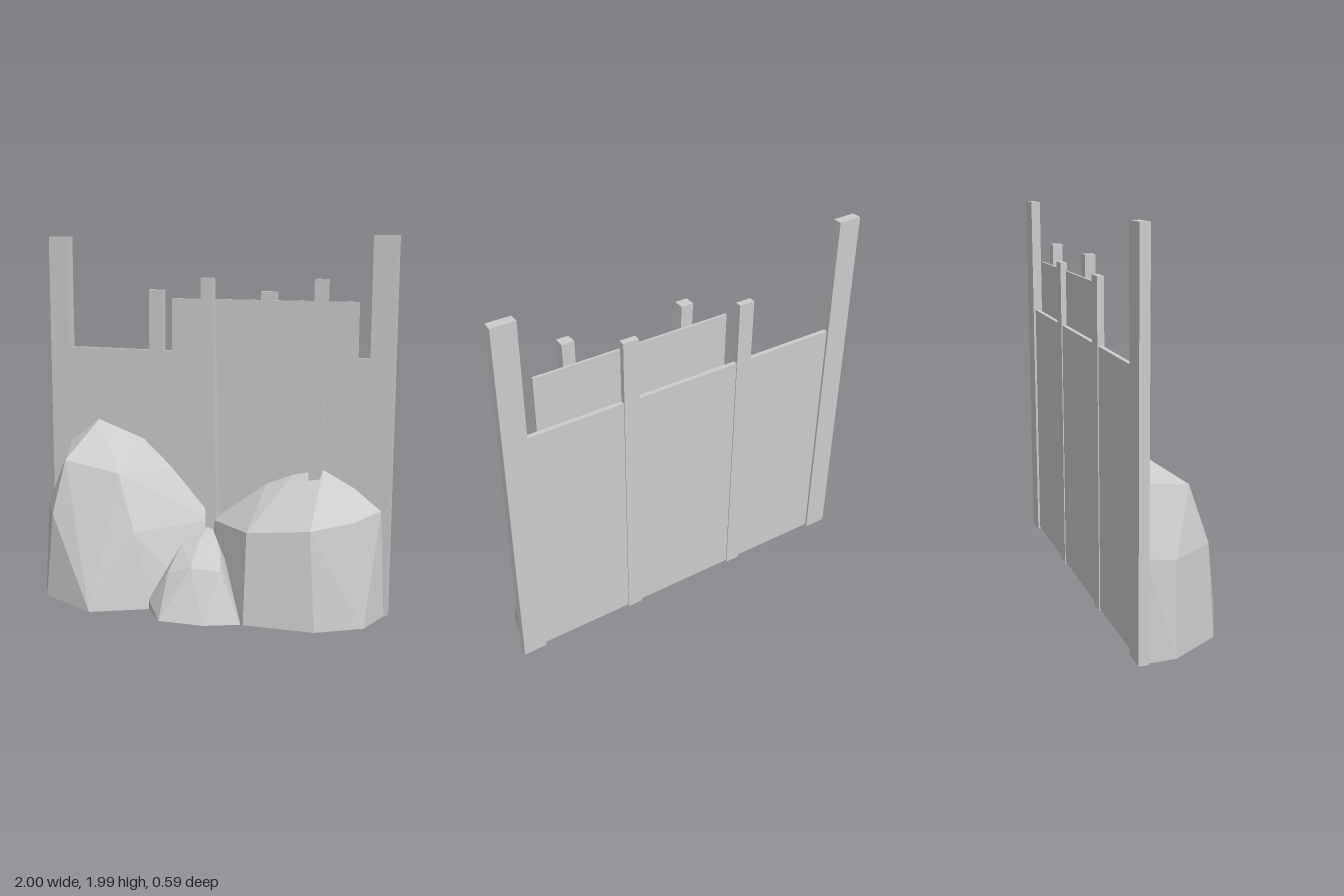
import * as THREE from 'three';
import { ConvexGeometry } from 'three/addons/geometries/ConvexGeometry.js';

const grey = new THREE.MeshStandardMaterial({ color: 0xcccccc });
grey.name = 'grey';
grey.side = THREE.DoubleSide;
grey.flatShading = true;

// Box given by its limits on each axis
function block(name, x0, x1, y0, y1, z0, z1) {
  const g = new THREE.BoxGeometry(x1 - x0, y1 - y0, z1 - z0);
  g.translate((x0 + x1) / 2, (y0 + y1) / 2, (z0 + z1) / 2);
  const m = new THREE.Mesh(g, grey);
  m.name = name;
  return m;
}

// Upright stake whose top is shifted sideways from its foot
function leaningStake(name, footX, topX, height) {
  const g = new THREE.BoxGeometry(0.064, height, 0.055);
  g.translate(0, height / 2, -0.225);
  const p = g.attributes.position;
  for (let i = 0; i < p.count; i++) {
    p.setX(i, p.getX(i) + THREE.MathUtils.lerp(footX, topX, p.getY(i) / height));
  }
  g.computeVertexNormals();
  const m = new THREE.Mesh(g, grey);
  m.name = name;
  return m;
}

// Faceted boulder shell, left open underneath and against the fence
function rock(name, points) {
  const hull = new ConvexGeometry(points.map((p) => new THREE.Vector3(...p)));
  const pos = hull.attributes.position;
  const kept = [];
  const tri = new THREE.Triangle();
  const n = new THREE.Vector3();
  for (let i = 0; i < pos.count; i += 3) {
    tri.setFromAttributeAndIndices(pos, i, i + 1, i + 2);
    tri.getNormal(n);
    if (n.y < -0.95 || n.z < -0.95) continue;
    for (const v of [tri.a, tri.b, tri.c]) kept.push(v.x, v.y, v.z);
  }
  const g = new THREE.BufferGeometry();
  g.setAttribute('position', new THREE.Float32BufferAttribute(kept, 3));
  g.computeVertexNormals();
  const m = new THREE.Mesh(g, grey);
  m.name = name;
  return m;
}

export function createModel() {
  const model = new THREE.Group();
  model.name = 'fenceWithRocks';

  // Fence: tall end posts, main panel, intermediate posts and the front board
  model.add(
    block('rightPost', -1, -0.875, 0, 1.99, -0.3, -0.25),
    block('leftPost', 0.875, 1, 0, 1.99, -0.3, -0.25),
    block('mainPanel', -0.9, 0.9, 0.01, 1.365, -0.288, -0.265),
    block('frontBoard', -0.235, 0.81, 0.64, 1.655, -0.264, -0.252)
  );
  for (const x of [-0.335, 0.32]) {
    model.add(block('middlePost', x - 0.042, x + 0.042, 0, 1.7, -0.293, -0.258));
  }

  // Stakes holding the front board
  model.add(
    leaningStake('centreStake', 0.03, -0.013, 1.77),
    leaningStake('sideStake', 0.595, 0.62, 1.77)
  );

  const back = -0.25;
  model.add(
    // Tall boulder
    rock('tallRock', [
      [-0.985, 0, back], [-0.985, 0, -0.11], [-0.835, 0, 0.14], [-0.49, 0, 0.29],
      [-0.2, 0, 0.12], [0.02, 0, -0.05], [0.03, 0, back],
      [-0.97, 0.5, back], [-0.95, 0.47, -0.1], [-0.8, 0.47, 0.12],
      [-0.875, 0.82, back], [-0.765, 0.76, 0.03], [-0.44, 0.71, 0.02], [-0.31, 0.41, 0.1],
      [-0.695, 0.955, back], [-0.41, 0.86, back], [-0.24, 0.71, back], [0.02, 0.43, back],
    ]),
    // Small boulder in the middle
    rock('smallRock', [
      [-0.215, 0, 0.12], [-0.09, 0, 0.27], [0.15, 0, 0.25], [0.325, 0, 0.16],
      [-0.215, 0.05, 0.12], [-0.1, 0.22, 0.125], [0.04, 0.265, 0.14], [0.2, 0.255, 0.115],
      [-0.08, 0.34, -0.02], [0.02, 0.365, -0.02], [0.14, 0.345, -0.02],
      [0, 0.4, -0.2], [-0.05, 0, back], [0.2, 0, back], [0, 0.4, back],
    ]),
    // Broad boulder
    rock('broadRock', [
      [0.985, 0, back], [0.93, 0, -0.03], [0.71, 0, 0.125], [0.34, 0, 0.16],
      [0.18, 0, 0], [0.03, 0, -0.2], [0.03, 0, back],
      [0.03, 0.44, -0.21], [0.32, 0.465, 0.06], [0.67, 0.515, 0.085], [0.85, 0.54, -0.07],
      [0.955, 0.57, back], [0.81, 0.68, back], [0.64, 0.765, back],
      [0.47, 0.725, back], [0.32, 0.66, back], [0.2, 0.54, back], [0.03, 0.45, back],
    ])
  );
  return model;
}
